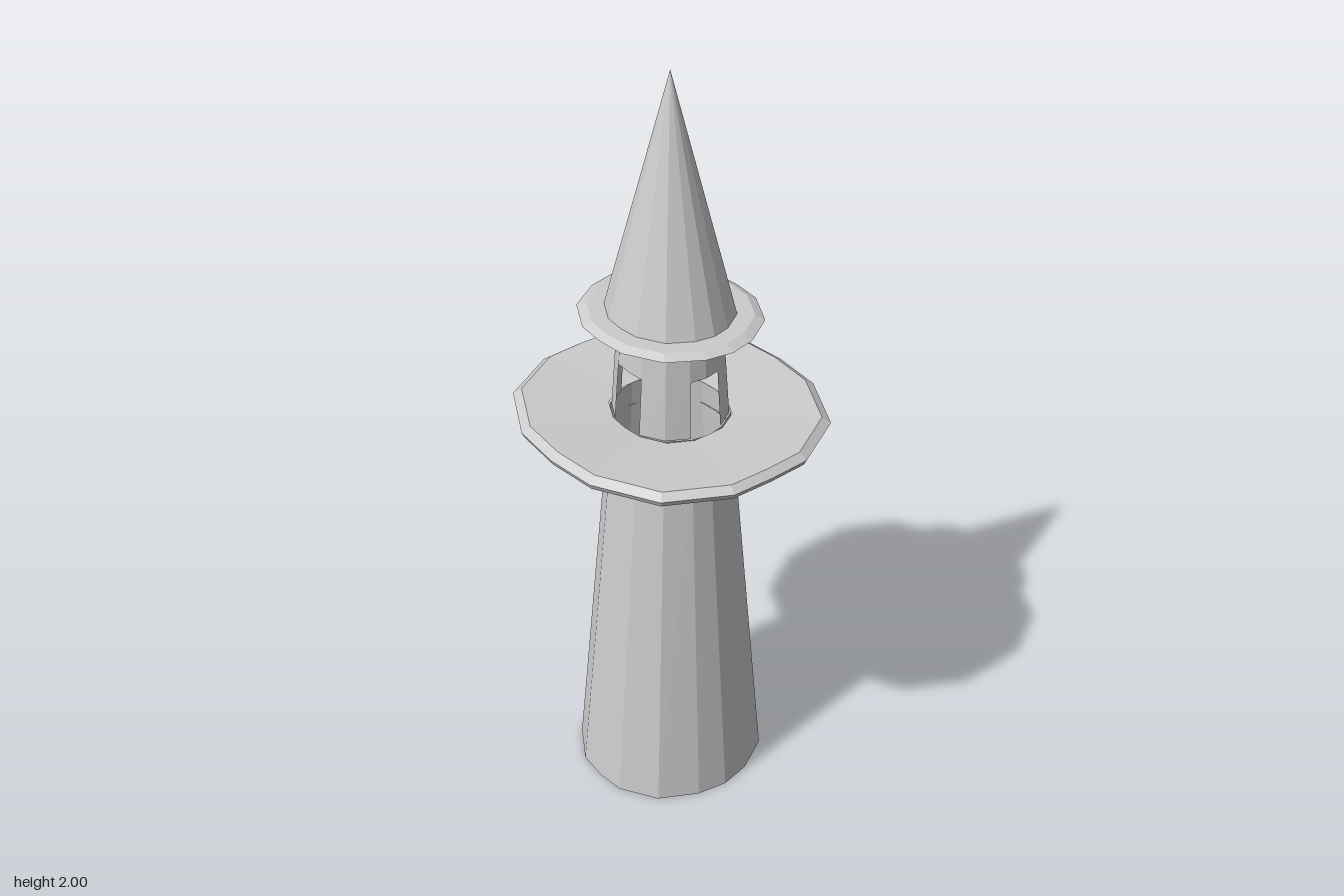
import * as THREE from 'three';

// One quarter of each 16-sided outline, from +x to +z, in units of the half-widths
const TOWER = [[1, 0], [0.97, 0.325], [0.73, 0.72], [0.33, 0.94], [0, 1]];
const DECK = [[1, 0], [0.965, 0.36], [0.73, 0.775], [0.308, 0.99], [0, 1]];

// Mirrors a quarter into the full closed outline
function fullOutline(q) {
  const half = [...q, ...q.slice(0, 4).reverse().map(([x, z]) => [-x, z])];
  return [...half, ...half.slice(1, 8).reverse().map(([x, z]) => [x, -z])];
}

// Skins rings given as [half-width x, half-width z, height]; keep(i) selects the facets
function loft(name, quarter, rings, side = THREE.FrontSide, keep = () => true) {
  const outline = fullOutline(quarter), n = outline.length, pos = [];
  const point = (i, [sx, sz, y]) => [outline[i % n][0] * sx, y, outline[i % n][1] * sz];
  for (let r = 0; r < rings.length - 1; r++) {
    const low = rings[r], high = rings[r + 1];
    for (let i = 0; i < n; i++) {
      if (!keep(i)) continue;
      const a = point(i, low), b = point(i + 1, low);
      const c = point(i + 1, high), d = point(i, high);
      if (low[0] > 0) pos.push(...a, ...d, ...b);
      if (high[0] > 0) pos.push(...b, ...d, ...c);
    }
  }
  const geometry = new THREE.BufferGeometry();
  geometry.setAttribute('position', new THREE.Float32BufferAttribute(pos, 3));
  geometry.computeVertexNormals();
  const material = new THREE.MeshStandardMaterial({ color: 0xcccccc, flatShading: true, side });
  const mesh = new THREE.Mesh(geometry, material);
  mesh.name = name;
  return mesh;
}

export function createModel() {
  const group = new THREE.Group();
  group.name = 'lighthouse';

  // Hollow tapered tower with a closed foot, open into the lantern room
  group.add(loft('tower', TOWER, [
    [0, 0, 0], [0.245, 0.24, 0], [0.15, 0.158, 1.03], [0.143, 0.152, 1.1],
  ], THREE.DoubleSide));

  // Gallery deck: sloping underside, bevelled rim, almost flat top
  group.add(loft('gallery', DECK, [
    [0.148, 0.156, 1.03], [0.358, 0.378, 1.085], [0.365, 0.385, 1.1],
    [0.343, 0.365, 1.115], [0.141, 0.15, 1.1],
  ], THREE.DoubleSide));

  // Lantern room: posts between four openings, with a closed band above them
  const isPost = (i) => i % 4 === 1 || i % 4 === 2;
  group.add(loft('lanternPosts', TOWER, [[0.139, 0.148, 1.1], [0.128, 0.138, 1.255]],
    THREE.DoubleSide, isPost));
  group.add(loft('lanternBand', TOWER, [[0.128, 0.138, 1.255], [0.12, 0.131, 1.36]],
    THREE.DoubleSide));

  // Roof brim and spire
  group.add(loft('roofBrim', TOWER, [
    [0, 0, 1.355], [0.16, 0.178, 1.355], [0.212, 0.236, 1.375],
    [0.19, 0.211, 1.386], [0, 0, 1.386],
  ]));
  group.add(loft('spire', TOWER, [[0.151, 0.168, 1.38], [0, 0, 2]]));

  return group;
}
